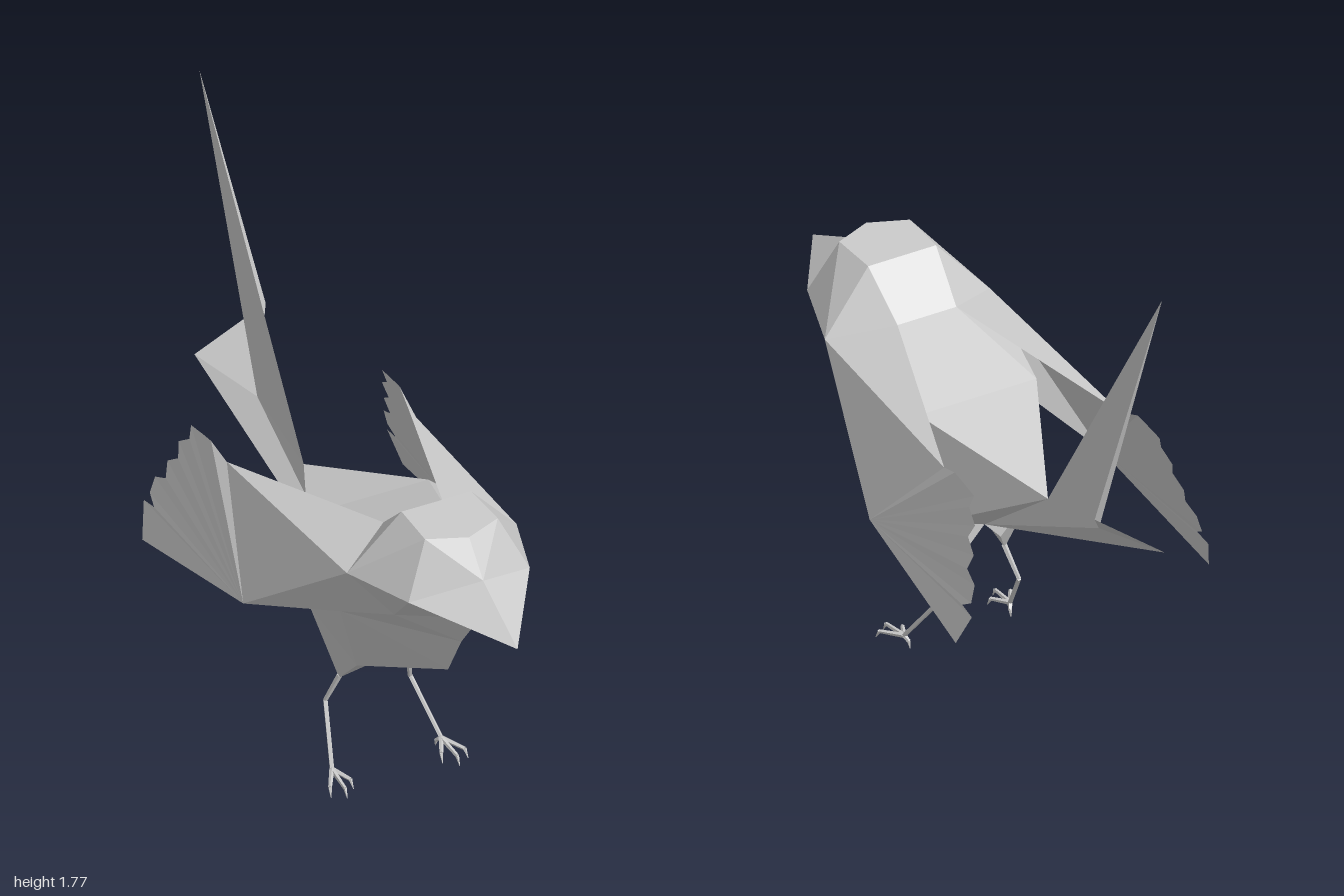
import * as THREE from 'three';

const material = new THREE.MeshStandardMaterial({ color: 0xcccccc, flatShading: true, side: THREE.DoubleSide });

// Faceted mesh from corner triples; side = -1 mirrors it across x
function facets(name, triangles, sides = [1]) {
  const pos = [];
  for (const s of sides) {
    for (const [a, b, c] of triangles) {
      for (const p of s > 0 ? [a, b, c] : [a, c, b]) pos.push(p[0] * s, p[1], p[2]);
    }
  }
  const g = new THREE.BufferGeometry();
  g.setAttribute('position', new THREE.Float32BufferAttribute(pos, 3));
  g.computeVertexNormals();
  const mesh = new THREE.Mesh(g, material);
  mesh.name = name;
  return mesh;
}

// Slim tapered rod between two points
function rod(name, a, b, r0, r1) {
  const from = new THREE.Vector3(...a), to = new THREE.Vector3(...b);
  const dir = to.clone().sub(from);
  const mesh = new THREE.Mesh(new THREE.CylinderGeometry(r1, r0, dir.length(), 5), material);
  mesh.position.copy(from).add(to).multiplyScalar(0.5);
  mesh.quaternion.setFromUnitVectors(new THREE.Vector3(0, 1, 0), dir.normalize());
  mesh.name = name;
  return mesh;
}

// Landmarks on the model's left half
const P = {
  tip: [0, 0.92, 1], brow: [0, 1.03, 0.78], chin: [0, 0.885, 0.76], cheek: [0.2, 0.96, 0.69],
  crown: [0, 1.13, 0.69], crownF: [0.12, 1.13, 0.64], crownB: [0.115, 1.13, 0.48], crownM: [0, 1.13, 0.48],
  nape: [0.1, 1, 0.335], napeM: [0, 1, 0.335], shoulder: [0.28, 0.945, 0.45],
  throat: [0.165, 0.81, 0.53], breast: [0, 0.73, 0.64], belly: [0, 0.58, 0.555], side: [0.24, 0.725, 0.33],
  under: [0, 0.46, 0.34], vent: [0, 0.46, 0], loin: [0.2, 0.88, 0.04], loinM: [0, 0.88, 0.04],
  rump: [0, 0.75, -0.37], hipF: [0.155, 0.47, 0.27], hipB: [0.17, 0.52, 0],
  inF: [0.05, 0.455, 0.25], inB: [0.055, 0.4, 0], knee: [0.115, 0.3, 0.08],
  wingLead: [0.39, 0.6, 0],
};
const faces = (text) => text.split(', ').map((t) => t.split(' ').map((k) => P[k]));

export function createModel() {
  const bird = new THREE.Group();
  bird.name = 'bird';
  const both = [1, -1];

  bird.add(facets('beak', faces('tip cheek brow, tip chin cheek'), both));
  bird.add(facets('head', faces(
    'brow cheek crownF, brow crownF crown, crownF cheek shoulder, crownF shoulder crownB, ' +
    'crownB shoulder nape, crown crownF crownB, crown crownB crownM, crownM crownB nape, crownM nape napeM'), both));
  bird.add(facets('body', faces(
    'chin throat cheek, cheek throat shoulder, throat side shoulder, chin breast throat, breast side throat, ' +
    'breast belly side, belly hipF side, belly under hipF, side hipF hipB, side hipB loin, shoulder side loin, ' +
    'shoulder loin nape, napeM nape loin, napeM loin loinM, loinM loin rump, loin hipB rump, hipB vent rump, ' +
    'under vent hipB, under hipB hipF'), both));
  bird.add(facets('thighs', faces(
    'hipF inF knee, inF inB knee, inB hipB knee, hipB hipF knee, inF vent inB, inB vent hipB'), both));

  // Wing: trailing edge as [z, y] with feather notches; x follows the height
  const feathers = [
    [-0.57, 0.495], [-0.615, 0.6], [-0.555, 0.61], [-0.595, 0.635], [-0.59, 0.69], [-0.535, 0.715],
    [-0.55, 0.765], [-0.5, 0.8], [-0.52, 0.845], [-0.47, 0.88], [-0.48, 0.92], [-0.405, 0.93], [-0.36, 0.935],
  ].map(([z, y]) => [0.315 + 0.27 * (0.92 - y), y, z]);
  const wingRear = [0.3, 0.905, -0.28];
  const edge = [...feathers, wingRear, P.shoulder];
  const wing = edge.slice(1).map((p, i) => [P.wingLead, edge[i], p]);
  wing.push([P.shoulder, wingRear, P.nape], [P.shoulder, P.side, P.wingLead]);
  bird.add(facets('leftWing', wing, [1]), facets('rightWing', wing, [-1]));

  // Raised, folded tail fan
  const top = [-0.02, 1.775, -1], ridge = [0, 0.81, -0.667];
  const left = [0.127, 0.985, -0.86], right = [-0.08, 0.835, -0.915];
  bird.add(facets('tail', [
    [top, P.rump, ridge], [top, ridge, left], [left, ridge, right],
    [ridge, P.vent, right], [ridge, P.rump, P.vent],
  ]));

  // Legs and feet
  for (const s of both) {
    const leg = new THREE.Group();
    leg.name = s > 0 ? 'leftLeg' : 'rightLeg';
    const at = (x, y, z) => [x * s, y, z];
    const hock = at(0.14, 0.205, 0.04), ankle = at(0.18, 0.045, 0.16);
    leg.add(rod('upperLeg', at(0.113, 0.31, 0.08), hock, 0.009, 0.007));
    leg.add(rod('shank', hock, ankle, 0.007, 0.007));
    const toes = [[0.222, 0.035, 0.23], [0.185, 0.035, 0.255], [0.15, 0.035, 0.22], [0.172, 0.03, 0.145]];
    for (const [x, y, z] of toes) {
      const end = at(x, y, z);
      leg.add(rod('toe', ankle, end, 0.008, 0.006));
      const reach = z > 0.16 ? 0.015 : -0.005;
      leg.add(rod('claw', end, at(x + (x - 0.18) * 0.1, 0.008, z + reach), 0.006, 0.001));
    }
    bird.add(leg);
  }
  return bird;
}
